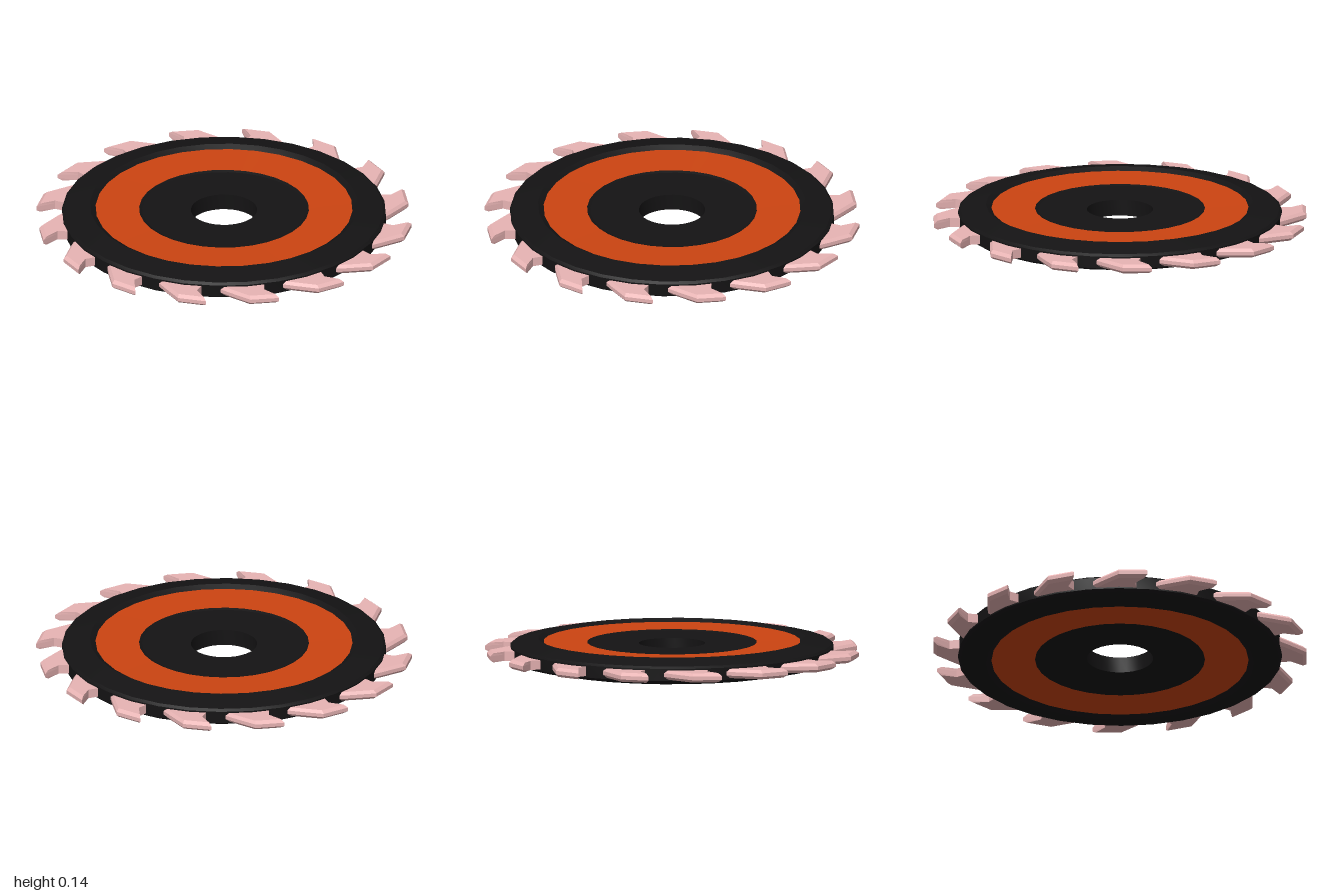
import * as THREE from 'three';
import { toCreasedNormals } from 'three/addons/utils/BufferGeometryUtils.js';

const MID = 0.0725; // height of the disc's middle plane
const TEETH = 16;

const black = new THREE.MeshStandardMaterial({ color: 0x141314 });
const orange = new THREE.MeshStandardMaterial({ color: 0xcc4411 });
const pink = new THREE.MeshStandardMaterial({ color: 0xe8b4b4 });

// Turned part; profile given as [radius, offset from the middle plane]
function turned(name, profile, material) {
  const points = profile.map(([r, y]) => new THREE.Vector2(r, MID + y));
  const geometry = toCreasedNormals(new THREE.LatheGeometry(points, 32), 0.3);
  const mesh = new THREE.Mesh(geometry, material);
  mesh.name = name;
  return mesh;
}

// Hooked tooth, full thickness at the root and bevelled along its outer edge
function toothGeometry() {
  const back = [[-0.155, 1], [0, 1], [0.1, 0.9], [0.16, 0.835]];
  const inner = [[0.16, 0.78], [-0.08, 0.78], [-0.095, 0.86], [-0.085, 0.915]];
  const shape = new THREE.Shape([...back, ...inner].map(([x, y]) => new THREE.Vector2(x, y)));
  const geometry = new THREE.ExtrudeGeometry(shape, { depth: 3, steps: 3, bevelEnabled: false });
  const layers = [-0.025, -0.01, 0.01, 0.025];
  const pos = geometry.attributes.position;
  for (let i = 0; i < pos.count; i++) {
    const layer = Math.round(pos.getZ(i));
    let x = pos.getX(i), y = pos.getY(i);
    const onBack = back.some(([bx, by]) => Math.hypot(bx - x, by - y) < 1e-4);
    if (onBack && (layer === 0 || layer === 3)) {
      x *= 0.89;
      y = 0.83 + (y - 0.83) * 0.89;
    }
    pos.setXYZ(i, x, y, layers[layer]);
  }
  geometry.rotateX(-Math.PI / 2);
  geometry.computeVertexNormals();
  return geometry;
}

export function createModel() {
  const group = new THREE.Group();
  group.name = 'sawBlade';

  // Thick rim with sloping shoulders
  group.add(turned('rim', [
    [0.69, -0.055], [0.72, -0.0725], [0.855, -0.0445], [0.87, -0.033],
    [0.87, 0.033], [0.855, 0.0445], [0.72, 0.0725], [0.69, 0.055],
  ], black));

  // Recessed coloured bands, above and below
  group.add(turned('upperBand', [[0.69, 0.055], [0.456, 0.05]], orange));
  group.add(turned('lowerBand', [[0.456, -0.05], [0.69, -0.055]], orange));

  // Hub with the centre bore
  group.add(turned('hub', [
    [0.456, 0.05], [0.44, 0.044], [0.178, 0.044],
    [0.178, -0.044], [0.44, -0.044], [0.456, -0.05],
  ], black));

  // Ring of teeth
  const teeth = new THREE.Group();
  teeth.name = 'teeth';
  const geometry = toothGeometry();
  for (let i = 0; i < TEETH; i++) {
    const tooth = new THREE.Mesh(geometry, pink);
    tooth.name = 'tooth';
    tooth.position.y = MID;
    tooth.rotation.y = (i / TEETH) * Math.PI * 2;
    teeth.add(tooth);
  }
  group.add(teeth);

  return group;
}
